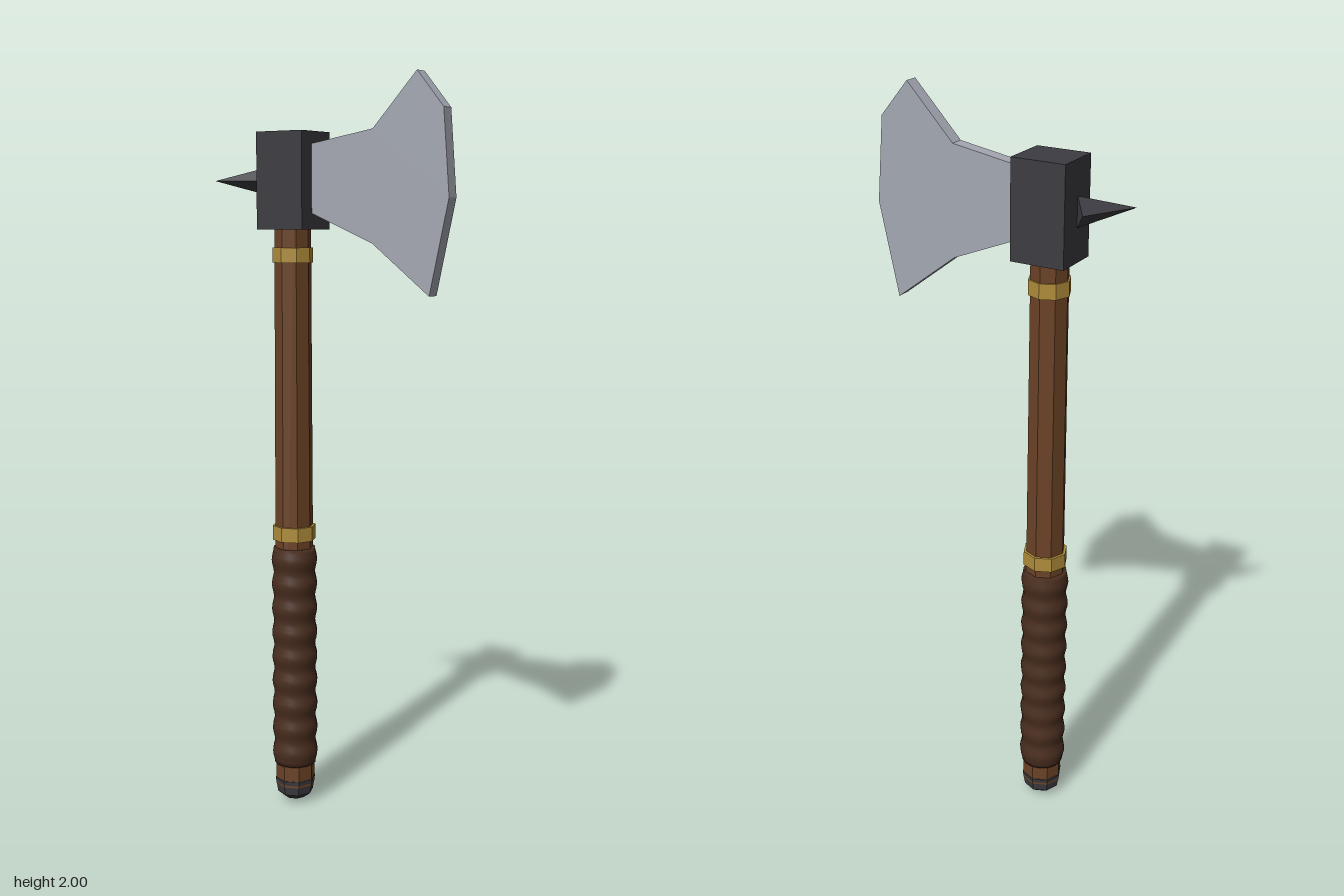
import * as THREE from 'three';

const AXIS_X = -0.155, AXIS_Z = -0.022;

const material = (color, flatShading = true) => new THREE.MeshStandardMaterial({ color, flatShading });

export function createModel() {
  const axe = new THREE.Group();
  axe.name = 'axe';

  const wood = material(0x6b4226);
  const leather = material(0x4a2e1f, false);
  const brass = material(0xb08d3a);
  const iron = material(0x3c3c42);
  const steel = material(0xa4a8b2);

  const add = (name, geometry, mat, x, y, z) => {
    const mesh = new THREE.Mesh(geometry, mat);
    mesh.name = name;
    mesh.position.set(x, y, z);
    axe.add(mesh);
    return mesh;
  };
  // Eight-sided piece on the handle axis, between two heights
  const ring = (name, y0, y1, rTop, rBottom, mat) =>
    add(name, new THREE.CylinderGeometry(rTop, rBottom, y1 - y0, 8), mat, AXIS_X, (y0 + y1) / 2, AXIS_Z);

  // Handle with two collars
  ring('shaft', 0.05, 1.855, 0.049, 0.055, wood);
  ring('upperCollar', 1.52, 1.56, 0.055, 0.055, brass);
  ring('lowerCollar', 0.76, 0.8, 0.06, 0.06, brass);

  // Wrapped grip: a profile of rounded coils
  const coils = 9, steps = 6, gripBottom = 0.113, gripTop = 0.738;
  const profile = [new THREE.Vector2(0, gripBottom)];
  for (let i = 0; i <= coils * steps; i++) {
    const bulge = Math.sin((i / steps) * Math.PI) ** 2;
    profile.push(new THREE.Vector2(0.058 + 0.006 * bulge,
      gripBottom + (gripTop - gripBottom) * i / (coils * steps)));
  }
  profile.push(new THREE.Vector2(0, gripTop));
  add('grip', new THREE.LatheGeometry(profile, 16), leather, AXIS_X, 0, AXIS_Z);

  // Pommel
  const pommel = [[0, 0], [0.03, 0.01], [0.05, 0.026], [0.057, 0.068], [0, 0.068]]
    .map(([r, y]) => new THREE.Vector2(r, y));
  add('pommel', new THREE.LatheGeometry(pommel, 8), iron, AXIS_X, 0, AXIS_Z);

  // Head block
  add('headBlock', new THREE.BoxGeometry(0.146, 0.255, 0.13), iron, -0.153, 1.735, AXIS_Z);

  // Flared blade plate
  const outline = [[-0.1, 1.655], [-0.08, 1.65], [0.108, 1.573], [0.278, 1.442], [0.332, 1.688],
    [0.314, 1.908], [0.237, 2.0], [0.108, 1.862], [-0.08, 1.83], [-0.1, 1.827]]
    .map(([x, y]) => new THREE.Vector2(x, y));
  add('blade', new THREE.ExtrudeGeometry(new THREE.Shape(outline), { depth: 0.038, bevelEnabled: false }),
    steel, 0, 0, AXIS_Z - 0.019);

  // Rear spike, a four-sided point angled back and forward
  const spike = add('spike', new THREE.ConeGeometry(0.039, 0.149, 4), iron, -0.28, 1.735, 0.03);
  const direction = new THREE.Vector3(-1, 0, 1).normalize();
  const up = new THREE.Vector3(0, 1, 0);
  spike.quaternion.setFromRotationMatrix(new THREE.Matrix4().makeBasis(
    up, direction, new THREE.Vector3().crossVectors(up, direction)));

  return axe;
}
